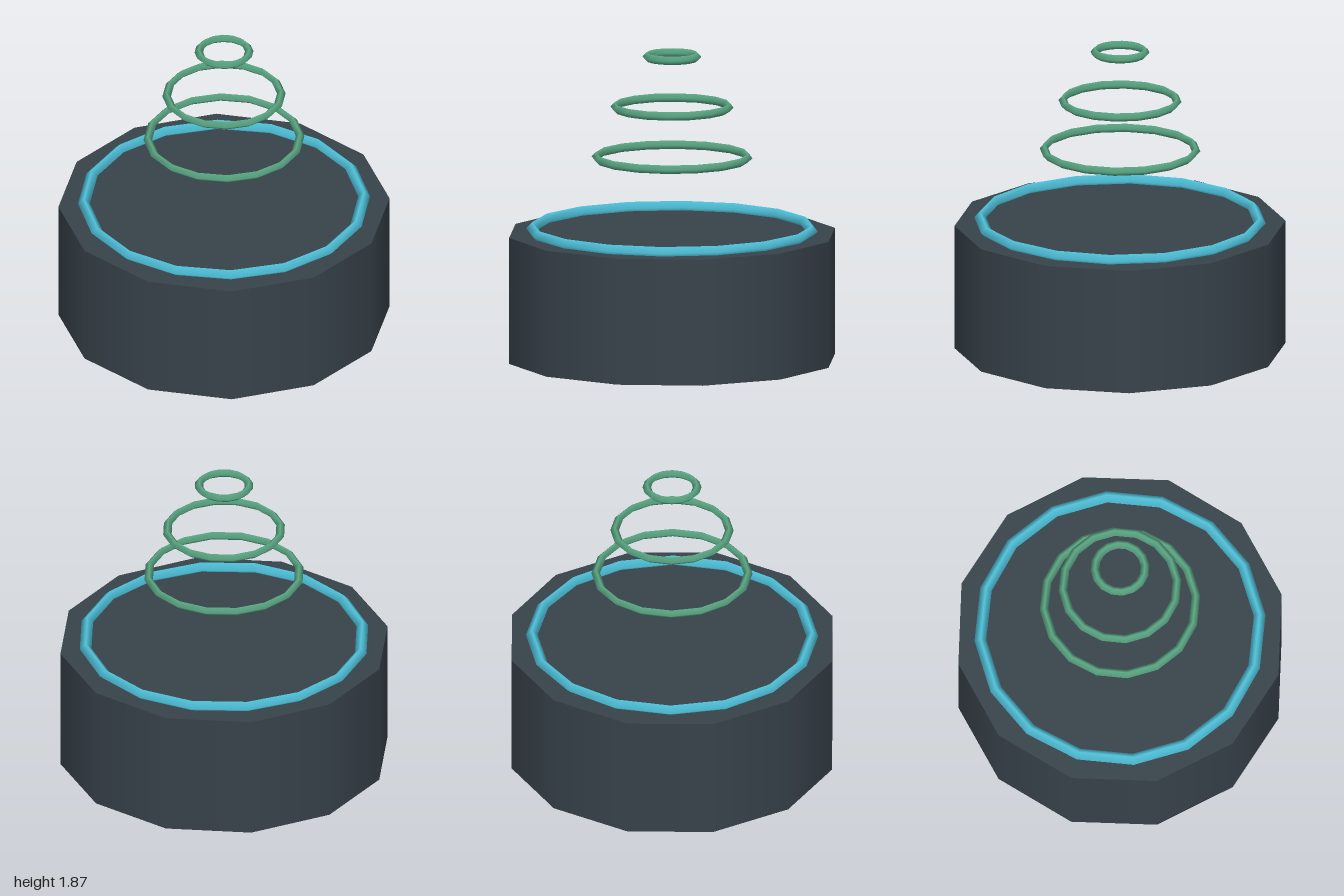
import * as THREE from 'three';

const material = (color) => new THREE.MeshStandardMaterial({ color });

// Horizontal ring with a four-sided, smooth-shaded tube
function ring(name, radius, tube, y, mat) {
  const mesh = new THREE.Mesh(new THREE.TorusGeometry(radius, tube, 4, 16), mat);
  mesh.name = name;
  mesh.rotation.x = Math.PI / 2;
  mesh.position.y = y;
  return mesh;
}

export function createModel() {
  const model = new THREE.Group();
  model.name = 'ringPedestal';

  // Twelve-sided drum
  const height = 0.77;
  const base = new THREE.Mesh(new THREE.CylinderGeometry(1, 1, height, 12), material(0x37424a));
  base.name = 'base';
  base.position.y = height / 2;
  model.add(base);

  // Bright rim half sunk into the top of the drum
  model.add(ring('rimRing', 0.846, 0.036, 0.789, material(0x4fc3dc)));

  // Floating rings, shrinking upwards
  const green = material(0x5aa884);
  [[0.46, 1.233], [0.346, 1.54], [0.152, 1.848]].forEach(([radius, y], i) => {
    model.add(ring(`floatingRing${i + 1}`, radius, 0.026, y, green));
  });

  return model;
}
